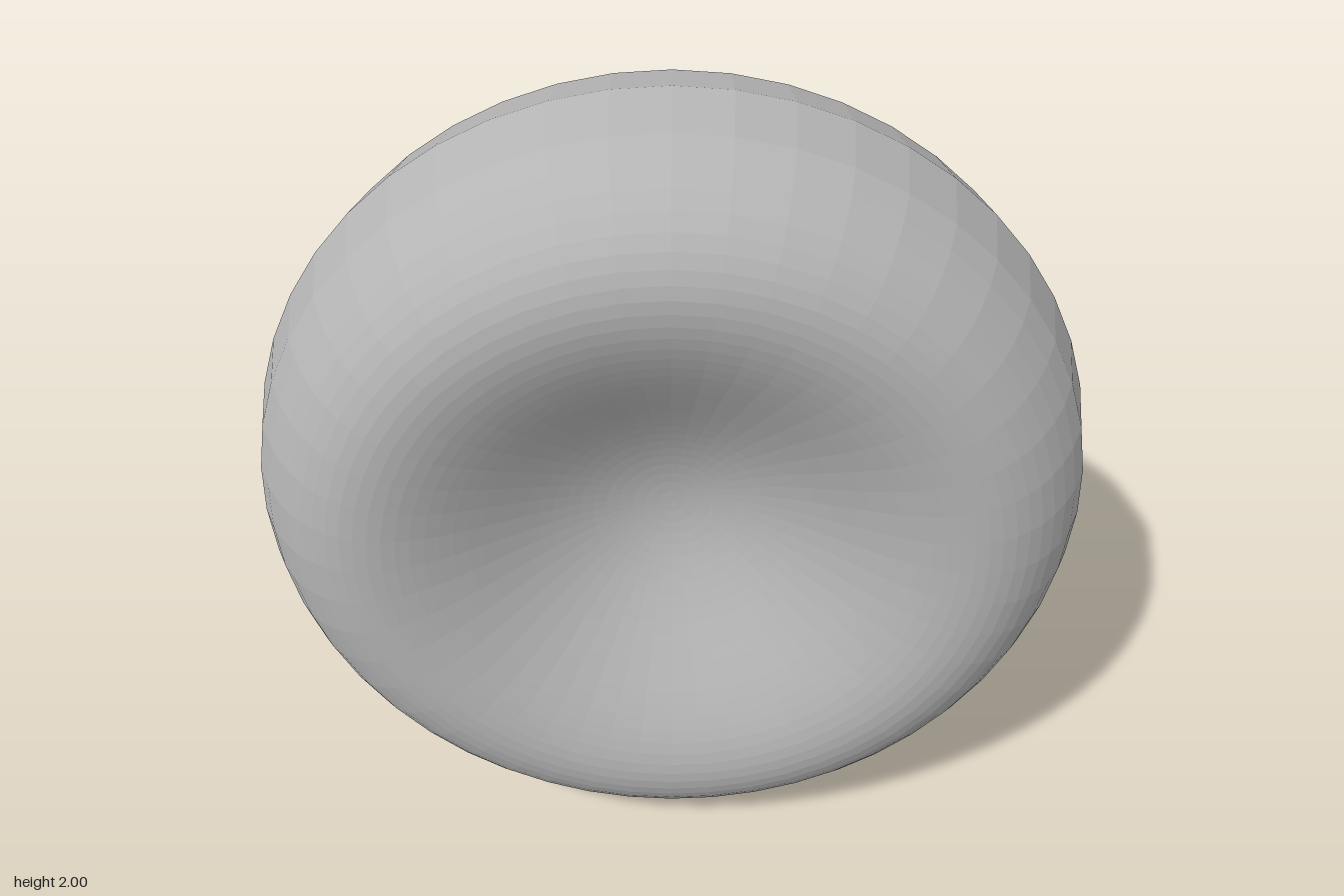
import * as THREE from 'three';

const RINGS = 32, SEGMENTS = 48, HALF_THICKNESS = 0.385;

// half thickness of the dimpled disc at radius r (0 to 1)
function profile(r) {
  const u = r * r;
  const height = Math.sqrt(Math.max(0, 1 - u)) * (0.207 + 2.003 * u - 1.123 * u * u);
  return (height / 0.656) * HALF_THICKNESS;
}

export function createModel() {
  const group = new THREE.Group();
  const grey = new THREE.MeshStandardMaterial({ color: 0xb4b4b4, flatShading: true });
  grey.name = 'grey';

  // outline from the back centre, round the rim, to the front centre
  const points = [];
  for (let i = -RINGS; i <= RINGS; i++) {
    const r = 1 - Math.abs(i) / RINGS;
    points.push(new THREE.Vector2(r, Math.sign(i) * profile(r)));
  }

  // biconcave disc standing on its rim, axis along z
  const geometry = new THREE.LatheGeometry(points, SEGMENTS);
  geometry.rotateX(Math.PI / 2);
  geometry.translate(0, 1, 0);
  const disc = new THREE.Mesh(geometry, grey);
  disc.name = 'dimpledDisc';
  group.add(disc);
  return group;
}
